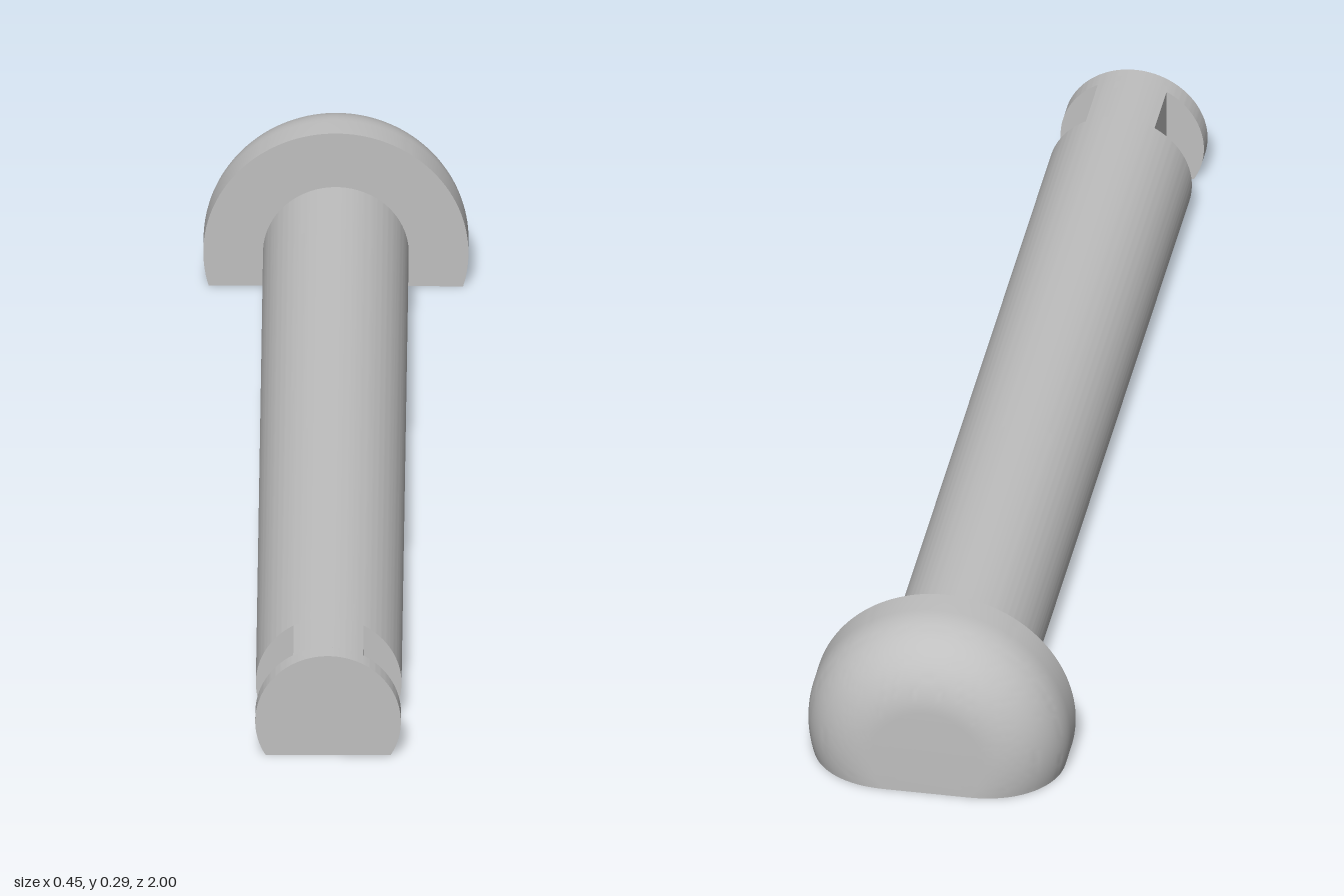
import * as THREE from 'three';
import { toCreasedNormals } from 'three/addons/utils/BufferGeometryUtils.js';

const AXIS = 0.064;      // height of the pin axis above the flat underside
const SHAFT_R = 0.125;
const HEAD_R = 0.2275;
const FILLET = 0.13;
const CREASE = 0.5;

const steel = new THREE.MeshStandardMaterial({ color: 0xbfbfbf });
steel.name = 'steel grey';

// Bar with a round top and flat underside, from z0 to z1; startAngle sets where the arc begins
function roundBar(name, startAngle, z0, z1) {
  const halfWidth = SHAFT_R * Math.cos(startAngle);
  const shape = new THREE.Shape();
  shape.moveTo(-halfWidth, 0);
  shape.lineTo(halfWidth, 0);
  shape.absarc(0, AXIS, SHAFT_R, startAngle, Math.PI - startAngle, false);
  shape.closePath();
  const geometry = new THREE.ExtrudeGeometry(shape, { depth: z1 - z0, bevelEnabled: false, curveSegments: 64 });
  geometry.translate(0, 0, z0);
  const mesh = new THREE.Mesh(toCreasedNormals(geometry, CREASE), steel);
  mesh.name = name;
  return mesh;
}

// Domed head: circles cut off at y = 0, lofted along z from back to front
function domedHead(zBack, zFront) {
  const sections = [];
  const steps = 20;
  for (let i = 0; i <= steps; i++) {
    const a = (i / steps) * Math.PI / 2;
    sections.push([HEAD_R - FILLET + FILLET * Math.sin(a), zBack + FILLET * (1 - Math.cos(a))]);
  }
  sections.push([HEAD_R, zFront]);

  const n = 80;
  const positions = [];
  const index = [];
  for (const [r, z] of sections) {
    const start = -Math.asin(AXIS / r);
    for (let j = 0; j <= n; j++) {
      const a = start + (j / n) * (Math.PI - 2 * start);
      positions.push(r * Math.cos(a), AXIS + r * Math.sin(a), z);
    }
  }
  const ring = n + 1;
  const last = (sections.length - 1) * ring;
  const backCentre = positions.length / 3;
  const frontCentre = backCentre + 1;
  positions.push(0, AXIS, zBack, 0, AXIS, zFront);

  for (let j = 0; j < ring; j++) {
    const k = (j + 1) % ring; // the closing step forms the flat underside
    for (let i = 0; i < last; i += ring) {
      index.push(i + j, i + k, i + ring + k, i + j, i + ring + k, i + ring + j);
    }
    index.push(backCentre, k, j, frontCentre, last + j, last + k);
  }
  const geometry = new THREE.BufferGeometry();
  geometry.setAttribute('position', new THREE.Float32BufferAttribute(positions, 3));
  geometry.setIndex(index);
  const mesh = new THREE.Mesh(toCreasedNormals(geometry, CREASE), steel);
  mesh.name = 'head';
  return mesh;
}

export function createModel() {
  const pin = new THREE.Group();
  pin.name = 'pin';
  const flatCut = -Math.asin(AXIS / SHAFT_R);
  const neckCut = Math.acos(0.06 / SHAFT_R);
  pin.add(
    domedHead(-1, -0.82),
    roundBar('shaft', flatCut, -0.82, 0.85),
    roundBar('neck', neckCut, 0.85, 0.965), // narrow web between the two side slots
    roundBar('endCollar', flatCut, 0.965, 1)
  );
  return pin;
}
